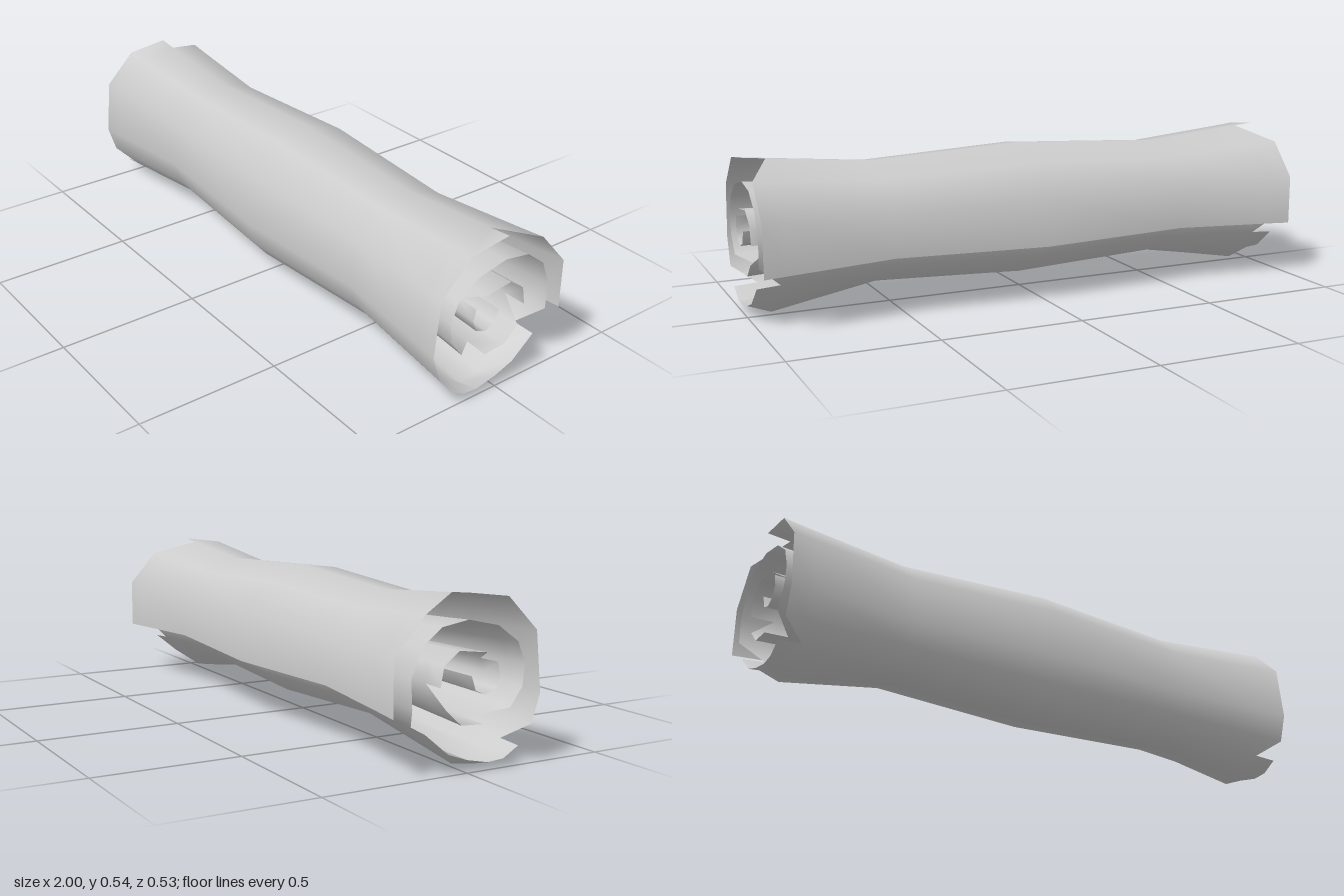
import * as THREE from 'three';

// Spiral cross-section at the open ends, as z, y pairs from the outer edge to the core
const SPIRAL = [
  -0.265, 0.20, -0.265, 0.375, -0.16, 0.495, -0.01, 0.55, 0.14, 0.53, 0.25, 0.42,
  0.27, 0.225, 0.24, 0.13, 0.19, 0.068, 0.135, 0.035, 0.078, 0.03, 0, 0.047,
  -0.07, 0.072, -0.155, 0.143, -0.20, 0.22, -0.205, 0.31, -0.17, 0.40, -0.10, 0.455,
  -0.005, 0.47, 0.105, 0.445, 0.18, 0.39, 0.208, 0.32, 0.20, 0.25, 0.155, 0.19,
  0.055, 0.15, -0.025, 0.155, -0.08, 0.205, -0.102, 0.275, -0.09, 0.34, -0.035, 0.38,
  0.065, 0.367, 0.105, 0.335, 0.115, 0.295, 0.10, 0.255, 0.06, 0.24, 0.025, 0.255, 0.01, 0.30,
];
// Rows along the roll: x position and scale of the spiral
const ROWS = [[-1, 1], [-0.92, 0.97], [-0.55, 0.845], [0, 0.95], [0.55, 0.845], [0.92, 0.97], [1, 1]];
const CENTRE_Y = 0.285;
// Tears in the end rims: segment index -> which of its columns loses the rim corner
const TEARS = { 2: 'next', 7: 'next', 13: 'this', 23: 'next', 26: 'next', 30: 'next' };
// Columns of the bottom flap that bulge downwards just behind the rim
const BULGE = { 10: 0.031, 11: 0.037 };

function rolledSheet() {
  const cols = SPIRAL.length / 2;
  const positions = [];
  const index = [];
  ROWS.forEach(([x, s], r) => {
    const behindRim = r === 1 || r === ROWS.length - 2;
    for (let c = 0; c < cols; c++) {
      const drop = behindRim ? BULGE[c] || 0 : 0;
      const y = CENTRE_Y + (SPIRAL[c * 2 + 1] - CENTRE_Y) * s - drop;
      positions.push(x, y, SPIRAL[c * 2] * s);
    }
  });
  for (let r = 0; r < ROWS.length - 1; r++) {
    for (let c = 0; c < cols - 1; c++) {
      const a = r * cols + c, b = a + 1, d = a + cols, e = d + 1;
      const first = r === 0, last = r === ROWS.length - 2;
      const tear = first || last ? TEARS[c] : undefined;
      if (!tear) index.push(a, b, e, a, e, d);
      else if (last) index.push(a, b, tear === 'next' ? d : e);
      else index.push(tear === 'next' ? a : b, e, d);
    }
  }
  const geometry = new THREE.BufferGeometry();
  geometry.setAttribute('position', new THREE.Float32BufferAttribute(positions, 3));
  geometry.setIndex(index);
  geometry.computeVertexNormals();
  return geometry;
}

export function createModel() {
  const group = new THREE.Group();
  group.name = 'scroll';
  const paper = new THREE.MeshStandardMaterial({ color: 0xcccccc, side: THREE.DoubleSide });
  paper.name = 'paperGrey';
  const sheet = new THREE.Mesh(rolledSheet(), paper);
  sheet.name = 'rolledSheet';
  group.add(sheet);
  return group;
}
